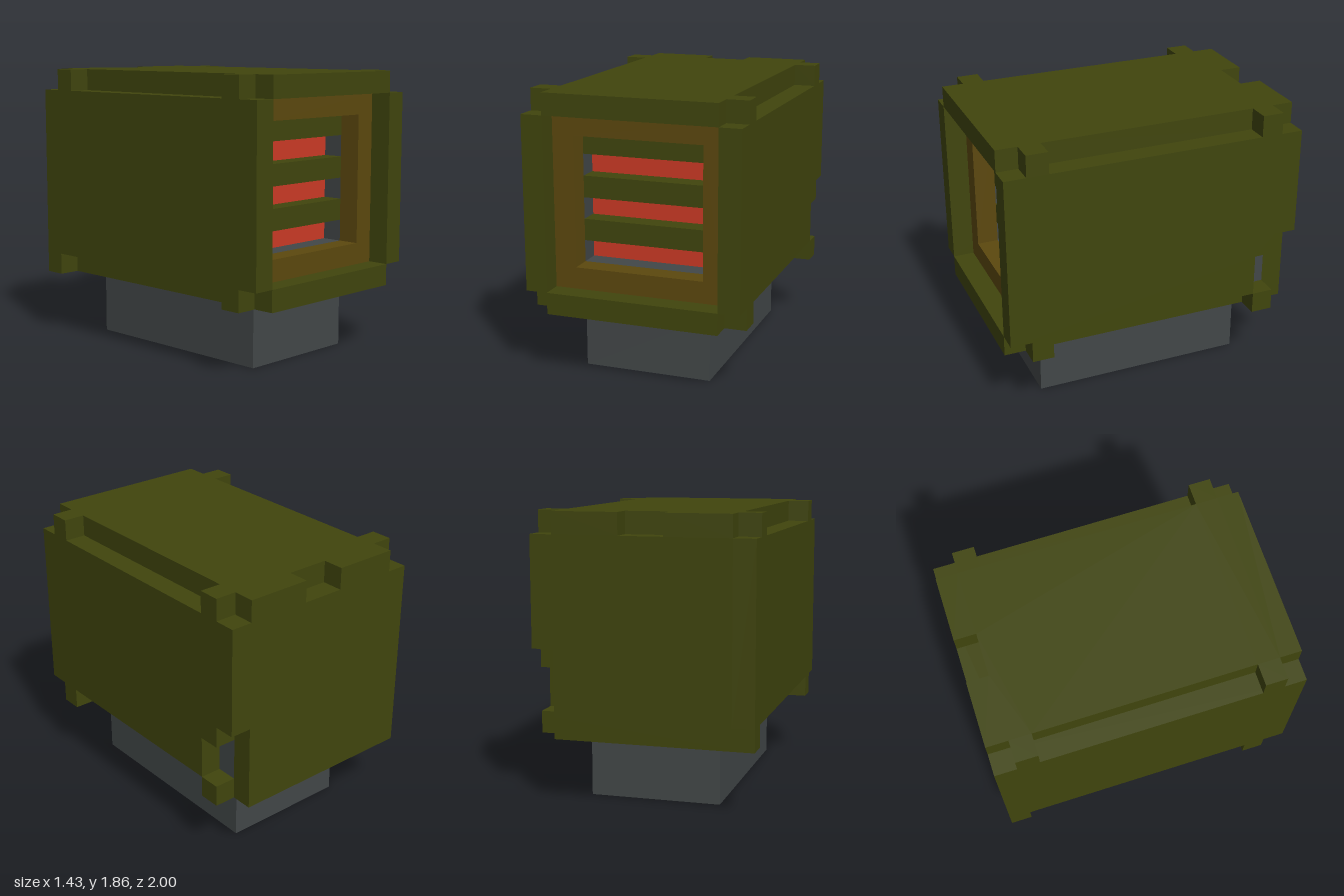
import * as THREE from 'three';

// All sizes are in grid units; the whole group is scaled by U.
const U = 1 / 7;

export function createModel() {
  const mat = (name, color) => {
    const m = new THREE.MeshStandardMaterial({ color });
    m.name = name;
    return m;
  };
  const olive = mat('olive casing', 0x40450d);
  const bronze = mat('bronze frame', 0x5c480e);
  const red = mat('glowing red', 0xcb3a25);
  const grey = mat('dark grey metal', 0x424748);

  const group = new THREE.Group();
  group.name = 'ventedBox';

  const add = (name, geometry, material) => {
    const mesh = new THREE.Mesh(geometry, material);
    mesh.name = name;
    group.add(mesh);
    return mesh;
  };

  // box from its minimum and maximum corners
  const box = (name, material, [x0, y0, z0], [x1, y1, z1]) =>
    add(name, new THREE.BoxGeometry(x1 - x0, y1 - y0, z1 - z0)
      .translate((x0 + x1) / 2, (y0 + y1) / 2, (z0 + z1) / 2), material);

  // one-unit-thick slab from an outline
  const slab = (shape) => new THREE.ExtrudeGeometry(shape, { depth: 1, bevelEnabled: false });
  const outline = (pts) => new THREE.Shape(pts.map(([a, b]) => new THREE.Vector2(a, b)));

  // horizontal plate from (x, z) points
  const flatPlate = (name, pts, y) =>
    add(name, slab(outline(pts.map(([x, z]) => [x, -z]))).rotateX(-Math.PI / 2).translate(0, y, 0), olive);
  // upright side plate from (z, y) points
  const sidePlate = (name, pts, x) =>
    add(name, slab(outline(pts.map(([z, y]) => [-z, y]))).rotateY(Math.PI / 2).translate(x, 0, 0), olive);
  // square ring facing the front
  const ring = (name, material, z) => {
    const s = outline([[-4, 4], [4, 4], [4, 12], [-4, 12]]);
    s.holes.push(new THREE.Path([[-3, 5], [-3, 11], [3, 11], [3, 5]].map(([x, y]) => new THREE.Vector2(x, y))));
    add(name, slab(s).translate(0, 0, z), material);
  };

  // pedestal and inner core
  box('base', grey, [-3, 0, -5], [3, 3, 5]);
  box('core', grey, [-4, 4, -6], [4, 12, 4]);
  ring('innerRing', grey, 4);
  ring('frontFrame', bronze, 5);

  // glowing panel behind the vent slats
  box('glowPanel', red, [-3, 5, 4], [3, 11, 4.05]);
  for (const y of [6, 8, 10]) box('ventSlat', olive, [-3, y, 4], [3, y + 1, 5]);

  // top plate with corner tabs and a notch in the back edge
  flatPlate('topPlate', [
    [-4, 7], [4, 7], [4, 6], [5, 6], [5, 5], [4, 5], [4, -5], [5, -5], [5, -6], [4, -6], [4, -7],
    [1, -7], [1, -6], [-1, -6], [-1, -7],
    [-4, -7], [-4, -6], [-5, -6], [-5, -5], [-4, -5], [-4, 5], [-5, 5], [-5, 6], [-4, 6],
  ], 12);

  // bottom plate with uneven corner tabs
  flatPlate('bottomPlate', [
    [-4, 7], [4, 7], [4, 6], [5, 6], [5, 5], [4, 5], [4, -5], [5, -5], [5, -6], [4, -6], [4, -7],
    [-5, -7], [-5, -6], [-4, -6], [-4, 5], [-5, 5], [-5, 6], [-4, 6],
  ], 3);

  // side plates; the left one is broken away at the lower back corner
  sidePlate('leftPlate', [[7, 4], [-5, 4], [-5, 6], [-6, 6], [-6, 7], [-7, 7], [-7, 12], [7, 12]], 4);
  sidePlate('rightPlate', [[7, 4], [-7, 4], [-7, 12], [7, 12]], -5);

  box('backPlate', olive, [-4, 4, -7], [4, 12, -6]);

  group.scale.setScalar(U);
  const model = new THREE.Group();
  model.name = 'model';
  model.add(group);
  return model;
}
